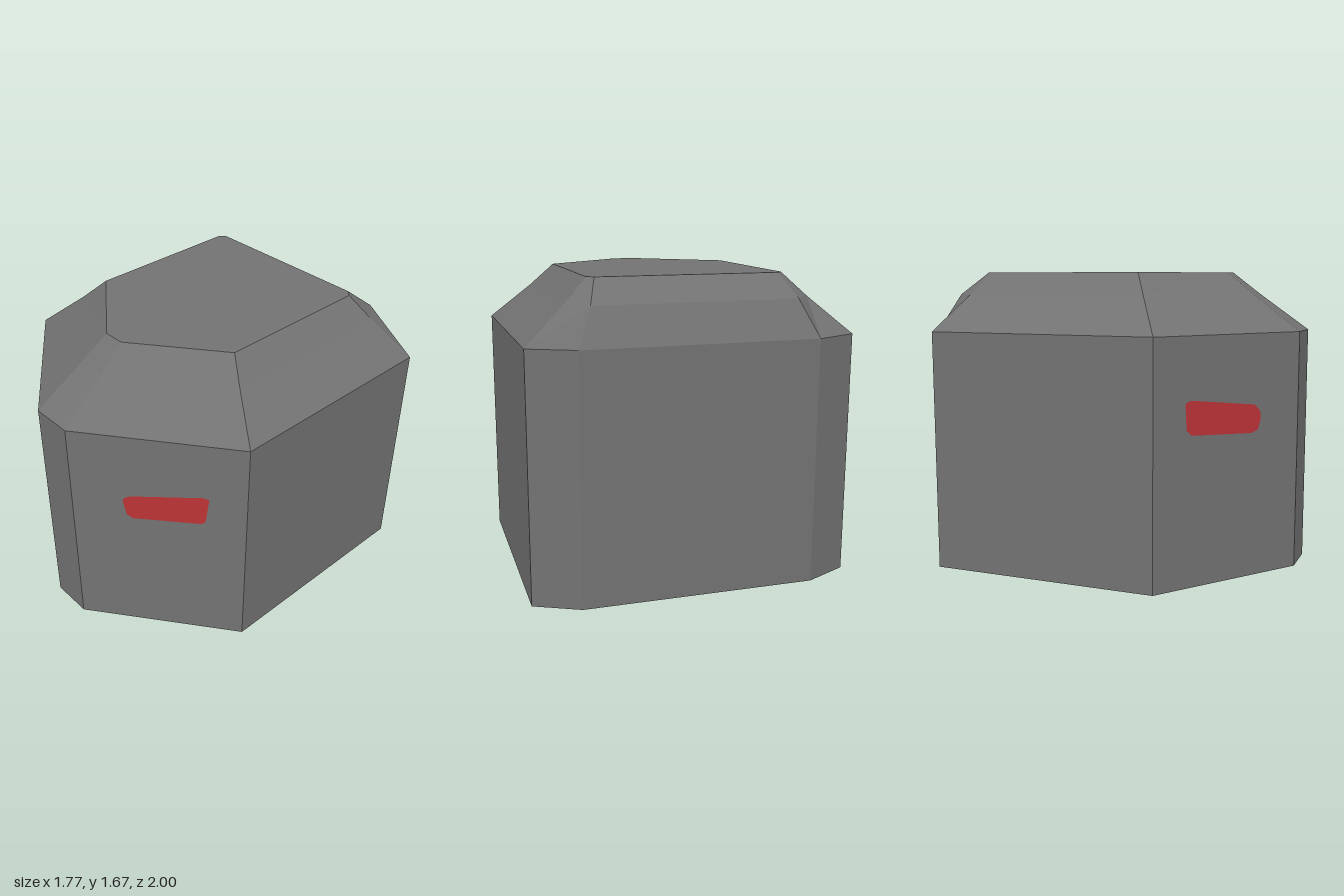
import * as THREE from 'three';

// Mirrored ring at height y, from its left half (front to back); runs counterclockwise from above
function ring(y, half) {
  const left = half.map(([x, z]) => [x, y, z]);
  const right = half.map(([x, z]) => [-x, y, z]).reverse();
  return [...left, ...right];
}

// Skin stacked rings of equal length, optionally capping the ends
function loft(rings, capBottom, capTop) {
  const n = rings[0].length;
  const index = [];
  for (let r = 0; r < rings.length - 1; r++) {
    for (let i = 0; i < n; i++) {
      const a = r * n + i, b = r * n + (i + 1) % n;
      index.push(a, b, b + n, a, b + n, a + n);
    }
  }
  const top = (rings.length - 1) * n;
  for (let i = 1; i < n - 1; i++) {
    if (capBottom) index.push(0, i + 1, i);
    if (capTop) index.push(top, top + i, top + i + 1);
  }
  const indexed = new THREE.BufferGeometry();
  indexed.setAttribute('position', new THREE.Float32BufferAttribute(rings.flat(2), 3));
  indexed.setIndex(index);
  const geometry = indexed.toNonIndexed();
  geometry.computeVertexNormals();
  return geometry;
}

// Flat eye patch laid on the slanted front cheek
function eyeGeometry(points) {
  const geometry = new THREE.ShapeGeometry(new THREE.Shape(points.map(([x, y]) => new THREE.Vector2(x, y))));
  const pos = geometry.attributes.position;
  for (let i = 0; i < pos.count; i++) {
    pos.setZ(i, 1.005 - (Math.abs(pos.getX(i)) - 0.12) * 0.58 / 0.765);
  }
  geometry.computeVertexNormals();
  return geometry;
}

export function createModel() {
  const group = new THREE.Group();
  const stone = new THREE.MeshStandardMaterial({ color: 0x727272, flatShading: true });
  stone.name = 'grey stone';
  const red = new THREE.MeshStandardMaterial({ color: 0xbc3336 });
  red.name = 'red eye';

  const add = (name, geometry, material) => {
    const mesh = new THREE.Mesh(geometry, material);
    mesh.name = name;
    group.add(mesh);
  };

  // Straight walls with a pointed front and clipped back corners
  const outline = [[0.12, 1], [0.885, 0.42], [0.885, -0.885], [0.64, -1]];
  add('body', loft([ring(0, outline), ring(1.345, outline)], true, false), stone);

  // Two-step bevelled crown
  add('crown', loft([
    ring(1.345, outline),
    ring(1.545, [[0.085, 0.725], [0.66, 0.28], [0.66, -0.775], [0.555, -0.9]]),
    ring(1.67, [[0.06, 0.565], [0.535, 0.2], [0.535, -0.71], [0.5, -0.745]]),
  ], false, true), stone);

  // Narrow slanted eyes, slightly uneven
  add('leftEye', eyeGeometry([
    [0.35, 0.92], [0.36, 0.94], [0.385, 0.955], [0.70, 1.005], [0.725, 0.995],
    [0.71, 0.835], [0.69, 0.82], [0.39, 0.80], [0.365, 0.825],
  ]), red);
  add('rightEye', eyeGeometry([
    [-0.73, 0.97], [-0.73, 0.995], [-0.705, 1.01], [-0.37, 0.96], [-0.34, 0.925],
    [-0.335, 0.88], [-0.35, 0.82], [-0.385, 0.805], [-0.70, 0.825], [-0.725, 0.855],
  ]), red);
  return group;
}
